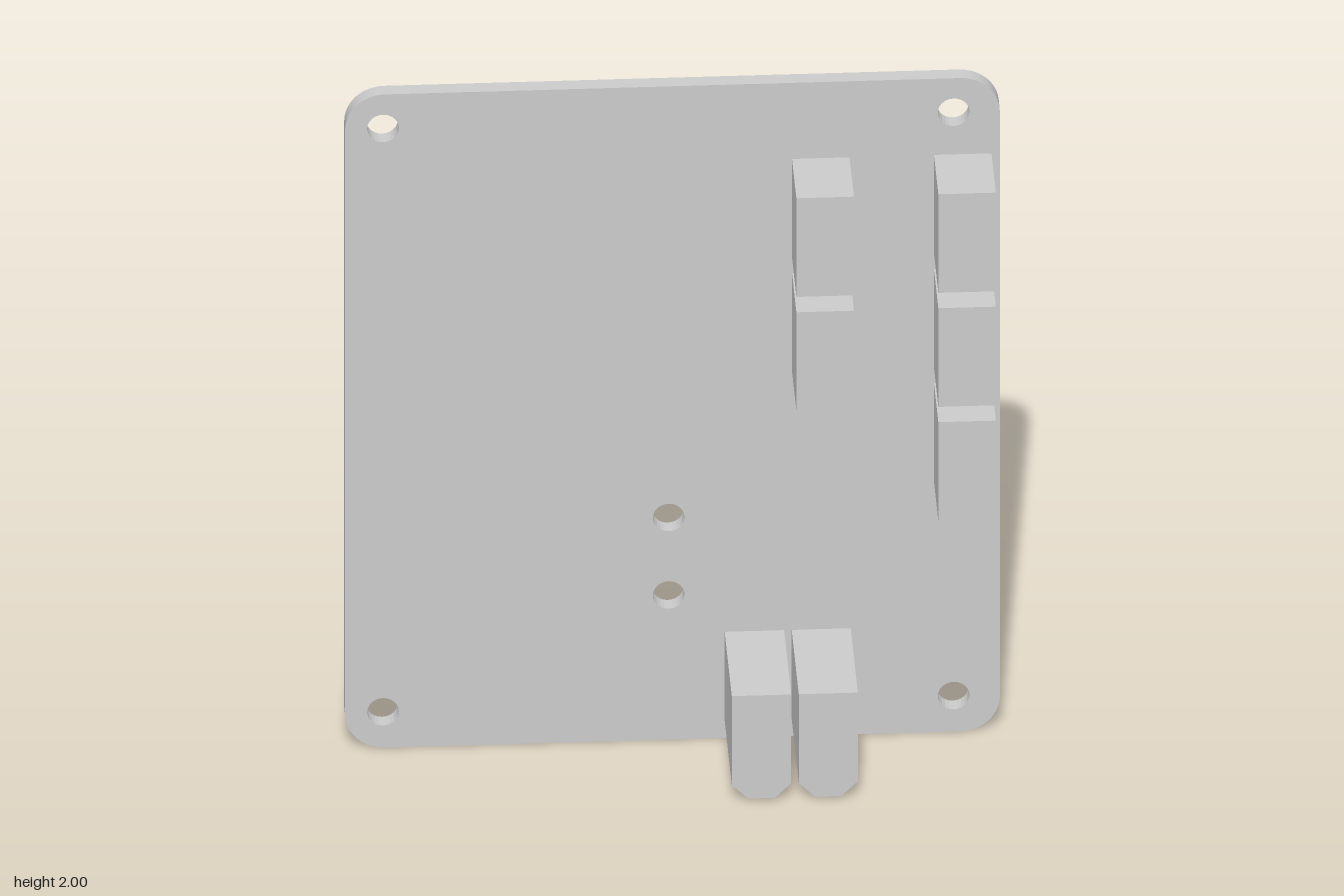
import * as THREE from 'three';

const BACK = -0.19, FACE = -0.145; // board back and front planes
const material = new THREE.MeshStandardMaterial({ color: 0xcccccc });

function extrude(shape, z0, z1, curveSegments = 12) {
  const geometry = new THREE.ExtrudeGeometry(shape, { depth: z1 - z0, bevelEnabled: false, curveSegments });
  return geometry.translate(0, 0, z0);
}

function addPart(group, name, geometry) {
  const mesh = new THREE.Mesh(geometry, material);
  mesh.name = name;
  group.add(mesh);
}

// Rounded plate with mounting holes
function boardShape() {
  const w = 0.865, h = 2, r = 0.105;
  const s = new THREE.Shape();
  s.absarc(w - r, r, r, -Math.PI / 2, 0);
  s.absarc(w - r, h - r, r, 0, Math.PI / 2);
  s.absarc(-w + r, h - r, r, Math.PI / 2, Math.PI);
  s.absarc(-w + r, r, r, Math.PI, Math.PI * 1.5);
  s.closePath();
  const holes = [[-0.765, 0.11], [0.743, 0.11], [-0.765, 1.896], [0.743, 1.896], [-0.01, 0.443], [-0.01, 0.68]];
  for (const [x, y] of holes) {
    s.holes.push(new THREE.Path().absarc(x, y, 0.042, 0, Math.PI * 2, true));
  }
  return s;
}

// Block with its two lower edges chamfered
function plugShape(x0, x1) {
  const y0 = 0.01, y1 = 0.325, c = 0.043;
  return new THREE.Shape([
    [x0 + c, y0], [x1 - c, y0], [x1, y0 + c], [x1, y1], [x0, y1], [x0, y0 + c],
  ].map(([x, y]) => new THREE.Vector2(x, y)));
}

export function createModel() {
  const model = new THREE.Group();
  model.name = 'circuitBoard';
  addPart(model, 'board', extrude(boardShape(), BACK, FACE));

  // Rectangular connectors in two columns
  const depth = 0.06 - FACE;
  const columns = [[0.392, [1.616, 1.267]], [0.767, [1.616, 1.267, 0.918]]];
  for (const [x, rows] of columns) {
    for (const y of rows) {
      const box = new THREE.BoxGeometry(0.152, 0.302, depth);
      addPart(model, 'connector', box.translate(x, y, FACE + depth / 2));
    }
  }

  // Deep power sockets at the lower edge
  for (const [x0, x1] of [[0.138, 0.295], [0.315, 0.471]]) {
    addPart(model, 'powerSocket', extrude(plugShape(x0, x1), FACE, 0.19));
  }
  return model;
}
